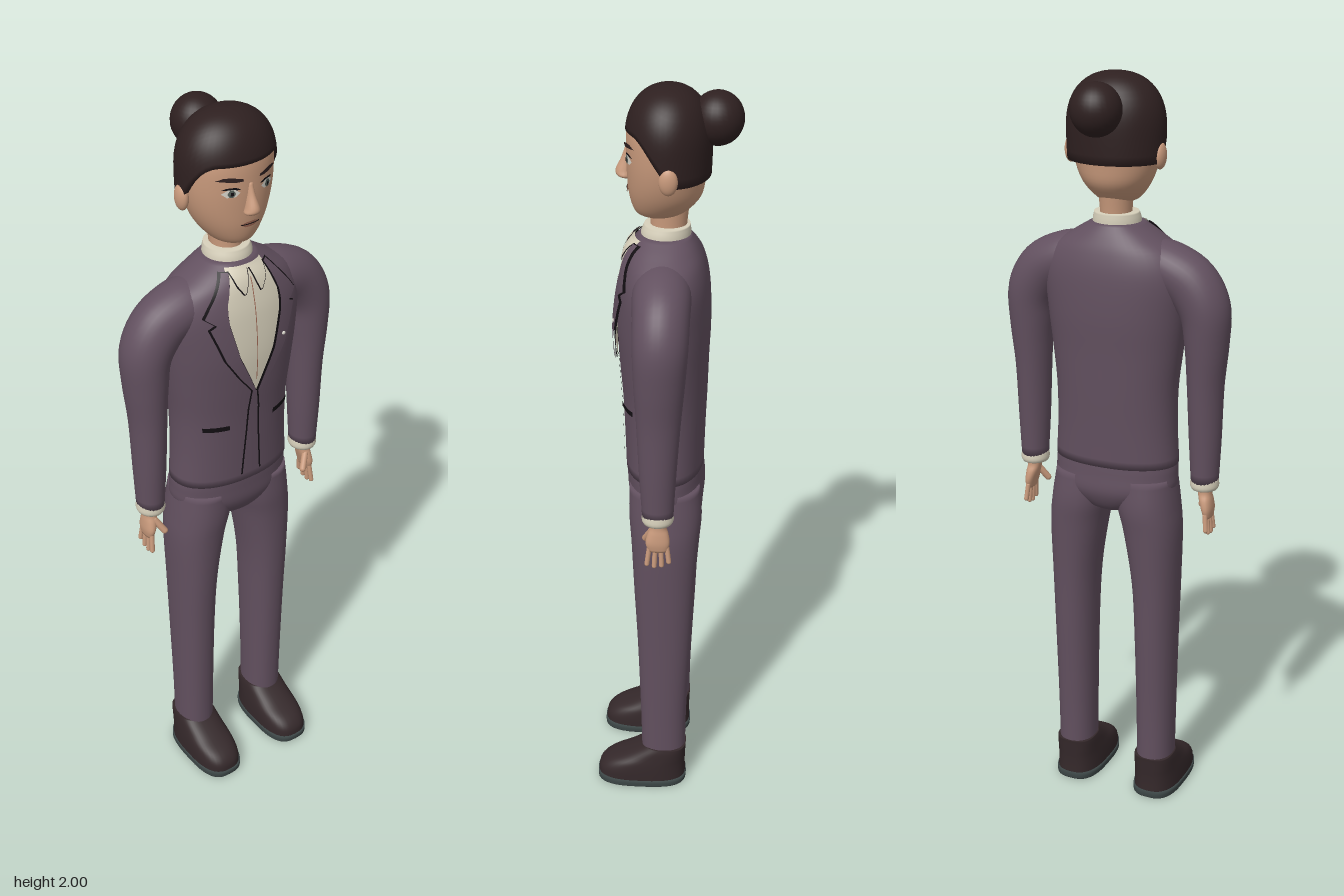
import * as THREE from 'three';

const mat = (name, color, side = THREE.FrontSide) => {
  const m = new THREE.MeshStandardMaterial({ color, side });
  m.name = name;
  return m;
};

// Smooth curve through sections [x, y, z, rx, rz, tilt]
function sampler(sections) {
  const centre = new THREE.CatmullRomCurve3(sections.map(s => new THREE.Vector3(s[0], s[1], s[2])), false, 'catmullrom', 0.5);
  const size = new THREE.CatmullRomCurve3(sections.map(s => new THREE.Vector3(s[3], s[4], s[5] || 0)), false, 'catmullrom', 0.5);
  return t => ({ c: centre.getPoint(t), r: size.getPoint(t) });
}

const power = (v, p) => Math.sign(v) * Math.abs(v) ** (2 / p);

function gridGeometry(pos, idx) {
  const g = new THREE.BufferGeometry();
  g.setAttribute('position', new THREE.Float32BufferAttribute(pos, 3));
  g.setIndex(idx);
  g.computeVertexNormals();
  return g;
}

// Closed body through oval rings, ordered from bottom to top
function loft(sections, p = 2, seg = 32, steps = 5) {
  const at = sampler(sections), rows = (sections.length - 1) * steps, pos = [], idx = [];
  for (let i = 0; i <= rows; i++) {
    const { c, r } = at(i / rows);
    for (let j = 0; j < seg; j++) {
      const a = j / seg * Math.PI * 2, u = r.x * power(Math.cos(a), p);
      pos.push(c.x + u * Math.cos(r.z), c.y + u * Math.sin(r.z), c.z + r.y * power(Math.sin(a), p));
      if (i < rows) {
        const k = (j + 1) % seg, b = i * seg, t = b + seg;
        idx.push(b + j, t + j, b + k, b + k, t + j, t + k);
      }
    }
  }
  const end = pos.length / 3, last = rows * seg;
  pos.push(...at(0).c.toArray(), ...at(1).c.toArray());
  for (let j = 0; j < seg; j++) {
    const k = (j + 1) % seg;
    idx.push(end, j, k, end + 1, last + k, last + j);
  }
  return gridGeometry(pos, idx);
}

// Front depth of a lofted body at (x, y)
function frontOf(sections, p = 2) {
  const at = sampler(sections);
  return (x, y) => {
    let lo = 0, hi = 1;
    for (let i = 0; i < 24; i++) {
      const m = (lo + hi) / 2;
      if (at(m).c.y < y) lo = m; else hi = m;
    }
    const { c, r } = at(lo);
    return c.z + r.y * Math.max(0, 1 - Math.abs(x / r.x) ** p) ** (1 / p);
  };
}

// Thin panel laid on a surface; rows [y, x0, x1] run from top to bottom
function drape(front, rows, offset, s = 1, nx = 8, ny = 5) {
  const pos = [], idx = [], n = (rows.length - 1) * ny;
  for (let i = 0; i <= n; i++) {
    const k = Math.min(Math.floor(i / ny), rows.length - 2), f = i / ny - k;
    const [y, a, b] = rows[k].map((v, q) => v + (rows[k + 1][q] - v) * f);
    const x0 = Math.min(a * s, b * s), x1 = Math.max(a * s, b * s);
    for (let j = 0; j <= nx; j++) {
      const x = x0 + (x1 - x0) * j / nx;
      pos.push(x, y, front(x, y) + offset);
      if (i < n && j < nx) {
        const u = i * (nx + 1) + j, d = u + nx + 1;
        idx.push(u, d, u + 1, u + 1, d, d + 1);
      }
    }
  }
  return gridGeometry(pos, idx);
}

// Hair cap: hairline high at the forehead, low at the nape
function hairCap(seg = 48, rows = 16) {
  const pos = [], idx = [];
  for (let i = 0; i <= rows; i++) {
    const v = Math.max(0, i - 1) / (rows - 1);
    for (let j = 0; j < seg; j++) {
      const a = j / seg * Math.PI * 2;
      const low = 1.785 + 0.113 * THREE.MathUtils.smoothstep(Math.sin(a), -0.25, 0.8);
      const y = low + (2 - low) * Math.sin(v * Math.PI / 2), h = (y - 1.865) / 0.135;
      const r = (h > 0 ? Math.max(0, 1 - h ** 2.3) ** (1 / 2.3) : 1 - 0.06 * h * h) * (i ? 1 : 0.86);
      pos.push(0.128 * r * Math.cos(a), y, -0.008 + 0.106 * r * Math.sin(a));
      if (i < rows) {
        const k = (j + 1) % seg, b = i * seg, t = b + seg;
        idx.push(b + j, t + j, b + k, b + k, t + j, t + k);
      }
    }
  }
  return gridGeometry(pos, idx);
}

export function createModel() {
  const model = new THREE.Group();
  model.name = 'suitedFigure';
  const D = THREE.DoubleSide;
  const suit = mat('plumSuit', 0x62505f, D), skin = mat('skin', 0xc99a7c), hair = mat('darkHair', 0x2e2020, D);
  const cream = mat('creamShirt', 0xd6cfba, D), shoe = mat('shoeLeather', 0x34282a), sole = mat('soleRubber', 0x3c4646);
  const black = mat('blackTrim', 0x120e12, D), white = mat('eyeWhite', 0xd9d6cc, D);
  const iris = mat('iris', 0x55605a, D), lips = mat('lips', 0xa06a56, D);

  const add = (name, geometry, material) => {
    const m = new THREE.Mesh(geometry, material);
    m.name = name;
    model.add(m);
    return m;
  };
  const ball = (name, material, x, y, z, rx, ry, rz) => {
    const m = add(name, new THREE.SphereGeometry(1, 28, 20), material);
    m.position.set(x, y, z);
    m.scale.set(rx, ry, rz);
    return m;
  };
  const rod = (name, material, a, b, r) => {
    const from = new THREE.Vector3(...a), to = new THREE.Vector3(...b), d = to.clone().sub(from);
    const m = add(name, new THREE.CapsuleGeometry(r, d.length(), 5, 10), material);
    m.position.copy(from).add(to).multiplyScalar(0.5);
    m.quaternion.setFromUnitVectors(new THREE.Vector3(0, 1, 0), d.normalize());
  };

  // Jacket and hips
  const torso = [[0, 0.995, 0, 0.17, 0.102], [0, 1.1, 0, 0.164, 0.105], [0, 1.2, 0, 0.165, 0.109],
    [0, 1.3, 0.002, 0.176, 0.114], [0, 1.4, 0.002, 0.188, 0.118], [0, 1.5, 0, 0.196, 0.112],
    [0, 1.56, 0, 0.172, 0.1], [0, 1.6, 0.002, 0.115, 0.085], [0, 1.63, 0, 0.065, 0.064]];
  const chest = frontOf(torso, 2.2);
  add('jacketBody', loft(torso, 2.2, 48), suit);
  add('hips', loft([[0, 0.855, -0.005, 0.03, 0.045], [0, 0.875, -0.005, 0.09, 0.078], [0, 0.92, -0.005, 0.162, 0.1],
    [0, 0.97, -0.002, 0.169, 0.101], [0, 1.01, 0, 0.165, 0.1]], 2.2, 40), suit);

  // Shirt front and collar
  add('shirtFront', drape(chest, [[1.625, -0.052, 0.052], [1.55, -0.077, 0.077], [1.48, -0.075, 0.075],
    [1.4, -0.052, 0.052], [1.34, -0.025, 0.025], [1.285, -0.002, 0.002]], 0.007, 1, 14), cream);
  add('shirtCollar', loft([[0, 1.605, 0, 0.064, 0.064], [0, 1.635, -0.002, 0.062, 0.062],
    [0, 1.655, -0.005, 0.057, 0.057]], 2, 36), cream);
  add('shirtSeam', drape(chest, [[1.6, -0.0012, 0.0012], [1.32, -0.0012, 0.0012]], 0.009, 1, 1, 20), lips);

  // Neck and head
  add('neck', loft([[0, 1.6, -0.006, 0.042, 0.046], [0, 1.65, -0.008, 0.04, 0.045], [0, 1.73, -0.012, 0.045, 0.05]]), skin);
  const skull = [[0, 1.675, 0.018, 0.028, 0.034], [0, 1.69, 0.012, 0.056, 0.063], [0, 1.73, 0, 0.087, 0.088],
    [0, 1.78, -0.003, 0.107, 0.096], [0, 1.84, -0.005, 0.117, 0.1], [0, 1.9, -0.005, 0.115, 0.097],
    [0, 1.95, -0.006, 0.09, 0.08], [0, 1.975, -0.006, 0.035, 0.035]];
  const face = frontOf(skull);
  add('head', loft(skull, 2, 40), skin);
  add('nose', loft([[0, 1.768, 0.09, 0.008, 0.008], [0, 1.776, 0.099, 0.021, 0.018], [0, 1.79, 0.1, 0.017, 0.021],
    [0, 1.82, 0.093, 0.01, 0.014], [0, 1.85, 0.088, 0.007, 0.008]], 2, 16), skin);
  add('mouth', drape(face, [[1.749, -0.01, 0.01], [1.744, -0.027, 0.027], [1.735, -0.012, 0.012]], 0.003), lips);
  add('mouthLine', drape(face, [[1.745, -0.026, 0.026], [1.7425, -0.026, 0.026]], 0.005), black);
  add('hairCap', hairCap(), hair);
  ball('hairBun', hair, 0, 1.922, -0.125, 0.064, 0.066, 0.064);

  for (const s of [1, -1]) {
    const side = s > 0 ? 'left' : 'right';

    // Face details
    ball(side + 'Ear', skin, s * 0.121, 1.803, -0.014, 0.015, 0.034, 0.023);
    add(side + 'Eye', drape(face, [[1.842, 0.042, 0.058], [1.832, 0.03, 0.072], [1.822, 0.041, 0.06]], 0.002, s), white);
    add(side + 'Iris', drape(face, [[1.842, 0.047, 0.054], [1.832, 0.041, 0.06], [1.823, 0.046, 0.055]], 0.004, s), iris);
    add(side + 'Pupil', drape(face, [[1.837, 0.047, 0.054], [1.828, 0.047, 0.054]], 0.006, s), black);
    add(side + 'EyeLid', drape(face, [[1.846, 0.041, 0.06], [1.841, 0.029, 0.073], [1.839, 0.028, 0.034]], 0.001, s), black);
    add(side + 'Brow', drape(face, [[1.873, 0.05, 0.068], [1.866, 0.024, 0.084], [1.86, 0.022, 0.04]], 0.004, s), hair);

    // Collar points and lapels with dark edges
    const tip = [[1.622, 0.003, 0.05], [1.59, 0.012, 0.042], [1.565, 0.022, 0.026]];
    add(side + 'CollarPointEdge', drape(chest, tip.map(([y, a, b]) => [y - 0.003, a - 0.002, b + 0.002]), 0.01, s), black);
    add(side + 'CollarPoint', drape(chest, tip, 0.012, s), cream);
    const lapel = [[1.618, 0.052, 0.066], [1.55, 0.076, 0.118], [1.525, 0.078, 0.134], [1.505, 0.077, 0.108],
      [1.495, 0.076, 0.124], [1.4, 0.052, 0.088], [1.34, 0.025, 0.05], [1.285, 0.002, 0.008]];
    add(side + 'LapelEdge', drape(chest, lapel.map(([y, a, b]) => [y, a - 0.003, b + 0.004]), 0.009, s), black);
    add(side + 'Lapel', drape(chest, lapel, 0.014, s), suit);

    // Front opening and pocket
    add(side + 'JacketOpening', drape(chest, [[1.3, 0.004, 0.009], [1.23, 0.013, 0.018], [1.16, 0.016, 0.021],
      [1.02, 0.026, 0.031]], 0.004, s, 2), black);
    add(side + 'Pocket', drape(chest, [[1.192, 0.068, 0.132], [1.178, 0.066, 0.13]], 0.005, s), black);

    // Sleeve, from cuff up into the shoulder
    add(side + 'Sleeve', loft([[s * 0.248, 0.962, 0.004, 0.036, 0.04], [s * 0.247, 1.08, 0.004, 0.042, 0.047],
      [s * 0.246, 1.22, 0.002, 0.047, 0.055], [s * 0.248, 1.33, 0, 0.056, 0.063, s * 0.05],
      [s * 0.243, 1.42, -0.002, 0.066, 0.068, s * 0.4], [s * 0.205, 1.485, -0.002, 0.071, 0.07, s * 0.85],
      [s * 0.14, 1.525, 0, 0.065, 0.072, s * 1.15], [s * 0.07, 1.55, 0, 0.05, 0.06, s * 1.25]], 2, 32), suit);
    add(side + 'Cuff', loft([[s * 0.248, 0.942, 0.004, 0.034, 0.037], [s * 0.248, 0.952, 0.004, 0.038, 0.041],
      [s * 0.248, 0.972, 0.004, 0.036, 0.039]], 2, 24, 3), cream);

    // Hand
    add(side + 'Palm', loft([[s * 0.261, 0.862, 0.003, 0.009, 0.024], [s * 0.259, 0.885, 0.004, 0.014, 0.031],
      [s * 0.254, 0.91, 0.003, 0.017, 0.027], [s * 0.25, 0.93, 0.003, 0.018, 0.02],
      [s * 0.249, 0.955, 0.003, 0.02, 0.022]], 2.3, 20, 4), skin);
    for (let i = 0; i < 4; i++) {
      const z = -0.02 + i * 0.015, drop = [0.014, 0.003, 0, 0.006][i];
      rod(side + 'Finger', skin, [s * 0.26, 0.872, z], [s * 0.264, 0.818 + drop, z * 1.25], 0.0065);
    }
    rod(side + 'Thumb', skin, [s * 0.248, 0.915, 0.02], [s * 0.228, 0.88, 0.037], 0.009);

    // Trouser leg
    add(side + 'TrouserLeg', loft([[s * 0.12, 0.09, -0.002, 0.05, 0.061], [s * 0.12, 0.25, -0.002, 0.052, 0.064],
      [s * 0.12, 0.48, -0.004, 0.056, 0.073], [s * 0.118, 0.65, -0.004, 0.062, 0.081],
      [s * 0.108, 0.8, -0.006, 0.075, 0.09], [s * 0.095, 0.88, -0.006, 0.081, 0.096],
      [s * 0.085, 0.96, -0.003, 0.08, 0.092]], 2.2), suit);

    // Shoe and sole
    add(side + 'Sole', loft([[s * 0.12, 0, 0.06, 0.064, 0.122], [s * 0.12, 0.004, 0.06, 0.066, 0.126],
      [s * 0.12, 0.022, 0.06, 0.066, 0.126]], 2.9, 40, 2), sole);
    add(side + 'Shoe', loft([[s * 0.12, 0.018, 0.06, 0.065, 0.124], [s * 0.12, 0.045, 0.058, 0.064, 0.121],
      [s * 0.12, 0.068, 0.046, 0.062, 0.109], [s * 0.12, 0.09, 0.022, 0.059, 0.086],
      [s * 0.12, 0.112, 0.002, 0.056, 0.067], [s * 0.12, 0.125, -0.008, 0.053, 0.058]], 2.7, 40), shoe);
  }

  // Lapel pin on the model's left
  ball('lapelPin', white, 0.082, 1.425, chest(0.082, 1.425) + 0.015, 0.005, 0.005, 0.003);
  return model;
}
